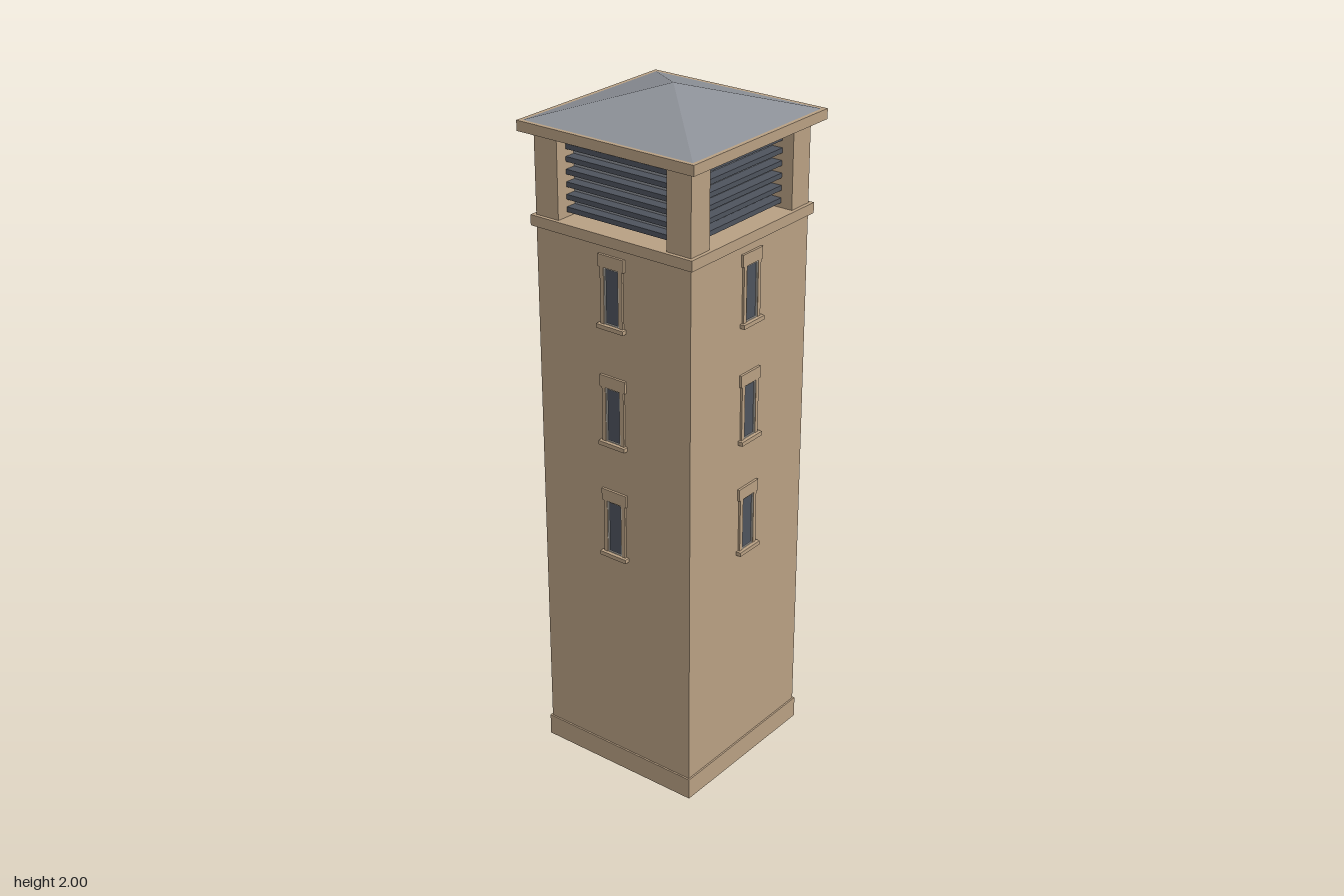
import * as THREE from 'three';

const mat = (name, color) => {
  const m = new THREE.MeshStandardMaterial({ color });
  m.name = name;
  return m;
};

export function createModel() {
  const stone = mat('sandstone', 0xb8a083);
  const slate = mat('roof slate', 0x8c9097);
  const dark = mat('dark glass and slats', 0x4e535d);
  const trim = mat('pale window trim', 0xc9c5bd);

  const tower = new THREE.Group();
  tower.name = 'tower';

  // Box given by its extents in x, y and z
  const box = (parent, name, material, x0, x1, y0, y1, z0, z1) => {
    const mesh = new THREE.Mesh(new THREE.BoxGeometry(x1 - x0, y1 - y0, z1 - z0), material);
    mesh.position.set((x0 + x1) / 2, (y0 + y1) / 2, (z0 + z1) / 2);
    mesh.name = name;
    parent.add(mesh);
    return mesh;
  };
  const block = (name, material, half, y0, y1) =>
    box(tower, name, material, -half, half, y0, y1, -half, half);

  const W = 0.257; // wall half width

  // Main shaft and its bands
  block('plinth', stone, 0.262, 0, 0.065);
  block('shaft', stone, W, 0.065, 1.626);
  block('belfryLedge', stone, 0.268, 1.626, 1.656);
  block('louverBacking', slate, 0.19, 1.656, 1.886);
  block('eavesSlab', stone, 0.288, 1.886, 1.915);

  // Corner piers of the belfry
  for (const sx of [-1, 1]) for (const sz of [-1, 1]) {
    const pier = box(tower, 'cornerPier', stone, -0.0385, 0.0385, 1.656, 1.886, -0.0385, 0.0385);
    pier.position.x = sx * (W - 0.0385);
    pier.position.z = sz * (W - 0.0385);
  }

  // Low pyramid roof
  const roofGeo = new THREE.ConeGeometry(0.276 * Math.SQRT2, 0.085, 4, 1).toNonIndexed();
  roofGeo.rotateY(Math.PI / 4);
  roofGeo.computeVertexNormals();
  const roof = new THREE.Mesh(roofGeo, slate);
  roof.position.y = 1.9575;
  roof.name = 'roof';
  tower.add(roof);

  // Framed opening on a +z wall: pane, pale rim, jambs, lintel and sill
  const addWindow = (side, y) => {
    const g = new THREE.Group();
    g.name = 'window';
    g.position.set(0, y, W);
    side.add(g);
    box(g, 'pane', dark, -0.021, 0.021, 0.015, 0.168, 0, 0.001);
    for (const s of [-1, 1]) {
      box(g, 'rimSide', trim, s * 0.023 - 0.002, s * 0.023 + 0.002, 0.012, 0.172, 0, 0.004);
      box(g, 'jamb', stone, s * 0.031 - 0.006, s * 0.031 + 0.006, 0.012, 0.172, 0, 0.006);
    }
    box(g, 'rimTop', trim, -0.025, 0.025, 0.168, 0.172, 0, 0.004);
    box(g, 'rimBottom', trim, -0.025, 0.025, 0.012, 0.015, 0, 0.004);
    box(g, 'lintel', stone, -0.043, 0.043, 0.172, 0.207, 0, 0.007);
    box(g, 'sill', stone, -0.045, 0.045, 0, 0.012, 0, 0.015);
  };

  // Four walls, each with louvers and three windows
  const names = ['frontWall', 'rightWall', 'backWall', 'leftWall'];
  names.forEach((name, i) => {
    const side = new THREE.Group();
    side.name = name;
    side.rotation.y = i * Math.PI / 2;
    tower.add(side);

    for (let k = 0; k < 6; k++) {
      const y = 1.677 + k * 0.0345;
      box(side, 'louverSlat', dark, -0.181, 0.181, y - 0.007, y + 0.007, 0.188, 0.222);
    }
    for (let k = 0; k < 3; k++) addWindow(side, 0.704 + k * 0.3445);

    // Entrance and an extra low window at the back
    if (name === 'backWall') {
      addWindow(side, 0.3595);
      const door = new THREE.Group();
      door.name = 'door';
      door.position.z = W;
      side.add(door);
      box(door, 'doorPanel', dark, -0.038, 0.038, 0.045, 0.225, 0, 0.0065);
      box(door, 'transom', stone, -0.038, 0.038, 0.225, 0.268, 0, 0.006);
      for (const s of [-1, 1])
        box(door, 'doorJamb', stone, s * 0.046 - 0.008, s * 0.046 + 0.008, 0.045, 0.268, 0, 0.009);
      box(door, 'doorLintel', stone, -0.063, 0.063, 0.268, 0.292, 0, 0.012);
      box(door, 'doorStep', stone, -0.066, 0.066, 0.03, 0.045, 0, 0.027);
    }
  });

  return tower;
}
